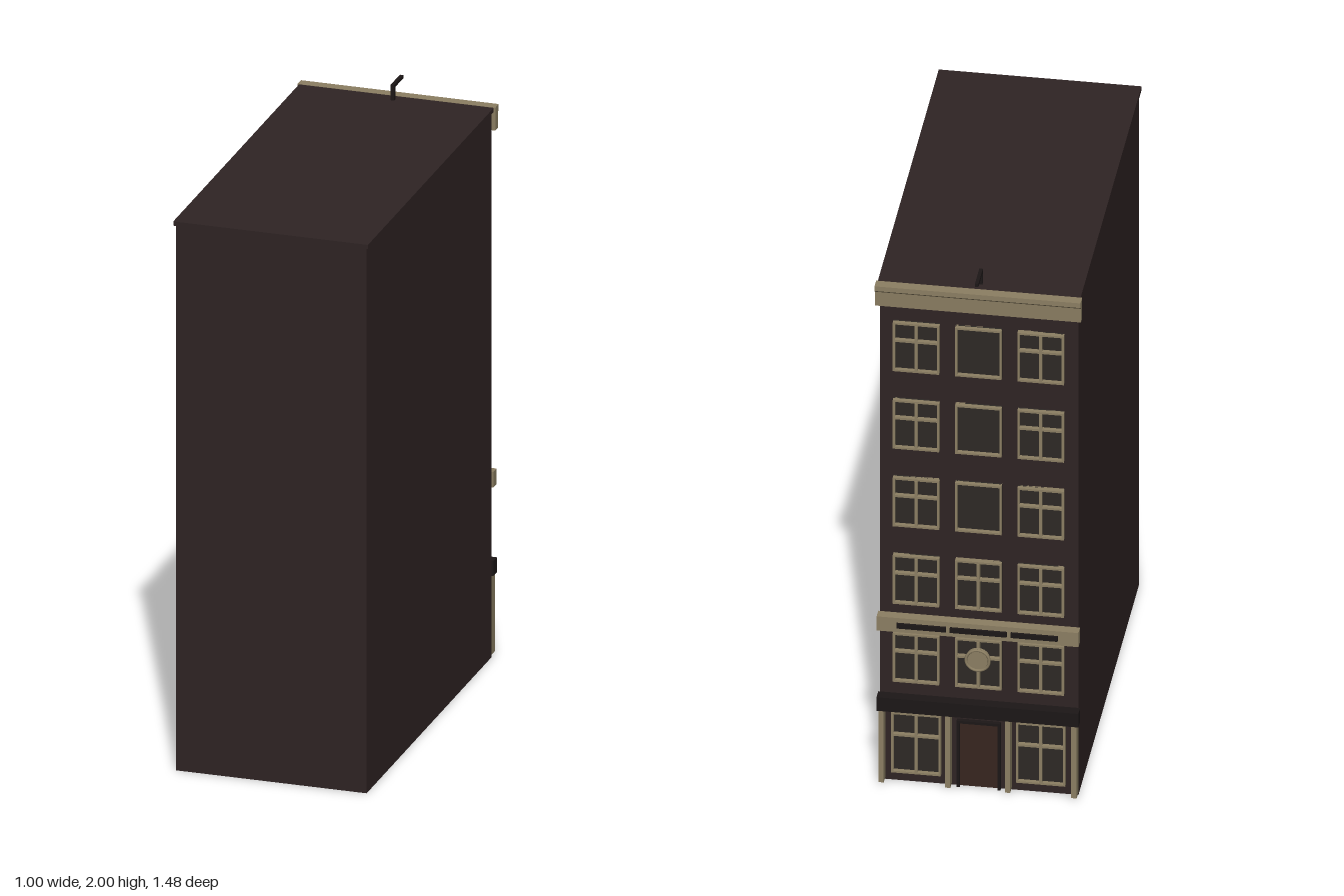
import * as THREE from 'three';

const mat = (name, color) => {
  const m = new THREE.MeshStandardMaterial({ color });
  m.name = name;
  return m;
};

export function createModel() {
  const wall = mat('dark brown wall', 0x2f2424);
  const stone = mat('beige stone', 0x8c7f63);
  const dark = mat('near black', 0x1c1717);
  const glass = mat('dim glass', 0x2d2925);
  const doorPaint = mat('door brown', 0x37251f);

  const W = 0.663, D = 1.307, H = 1.93, F = D / 2; // F: plane of the decorated wall

  const model = new THREE.Group();
  model.name = 'townhouse';
  const building = new THREE.Group();
  building.name = 'building';
  building.position.set(0.003, 0, 0.015);
  building.rotation.y = Math.PI + 0.25;
  model.add(building);

  // Box given by its limits on each axis
  function box(name, m, x0, x1, y0, y1, z0, z1, parent = building) {
    const mesh = new THREE.Mesh(new THREE.BoxGeometry(x1 - x0, y1 - y0, z1 - z0), m);
    mesh.position.set((x0 + x1) / 2, (y0 + y1) / 2, (z0 + z1) / 2);
    mesh.name = name;
    parent.add(mesh);
    return mesh;
  }

  // Main block and roof slab
  box('walls', wall, -W / 2, W / 2, 0, H, -F, F);
  box('roof', wall, -W / 2 - 0.007, W / 2 + 0.007, H, 1.945, -F - 0.007, F + 0.007);

  // Framed window, optionally divided by a cross bar
  function windowUnit(name, cx, y0, y1, w, cross) {
    const g = new THREE.Group();
    g.name = name;
    building.add(g);
    const x0 = cx - w / 2, x1 = cx + w / 2, t = 0.007, z = F + 0.02;
    box('pane', glass, x0, x1, y0, y1, F, F + 0.006, g);
    box('frameLeft', stone, x0, x0 + t, y0, y1, F, z, g);
    box('frameRight', stone, x1 - t, x1, y0, y1, F, z, g);
    box('frameTop', stone, x0 + t, x1 - t, y1 - t, y1, F, z, g);
    box('frameBottom', stone, x0 + t, x1 - t, y0, y0 + t, F, z, g);
    if (cross) {
      const ym = y0 + (y1 - y0) * 0.63;
      box('mullion', stone, cx - 0.005, cx + 0.005, y0 + t, y1 - t, F, z + 0.003, g);
      box('transom', stone, x0 + t, x1 - t, ym - 0.004, ym + 0.004, F, z + 0.001, g);
    }
  }

  // Five upper storeys, three windows each
  [0.395, 0.7, 1.003, 1.307, 1.61].forEach((y, row) => {
    for (const col of [-1, 0, 1]) {
      windowUnit('window', col * 0.208, y, y + 0.19, 0.155, col !== 0 || row < 2);
    }
  });

  // Shop front
  for (const s of [-1, 1]) {
    windowUnit('shopWindow', s * 0.208, 0.04, 0.275, 0.165, true);
    for (const x of [0.1, 0.322]) {
      box('pilaster', stone, s * x - 0.009, s * x + 0.009, 0.008, 0.29, F, F + 0.036);
    }
    box('doorJamb', dark, s * 0.068 - 0.005, s * 0.068 + 0.005, 0, 0.26, F, F + 0.014);
  }
  box('door', doorPaint, -0.063, 0.063, 0.005, 0.25, F, F + 0.008);
  box('doorLintel', dark, -0.073, 0.073, 0.25, 0.26, F, F + 0.015);
  box('shopFascia', dark, -0.337, 0.337, 0.287, 0.34, F, F + 0.037);

  // Sign band with plain dark strips
  box('signBand', stone, -0.337, 0.337, 0.6, 0.655, F, F + 0.035);
  for (const [a, b] of [[-0.27, -0.105], [-0.092, 0.098], [0.111, 0.268]]) {
    box('signStrip', dark, a, b, 0.619, 0.637, F + 0.035, F + 0.043);
  }

  // Round medallion over the middle first floor window
  const disc = new THREE.Mesh(new THREE.CylinderGeometry(0.041, 0.041, 0.014, 24), stone);
  disc.name = 'medallion';
  disc.rotation.x = Math.PI / 2;
  disc.position.set(0, 0.515, F + 0.028);
  building.add(disc);
  const rim = new THREE.Mesh(new THREE.TorusGeometry(0.039, 0.005, 6, 24), stone);
  rim.name = 'medallionRim';
  rim.position.set(0, 0.515, F + 0.035);
  building.add(rim);

  // Cornice: profile extruded along the width
  const profile = new THREE.Shape([
    [0, 1.865], [0.026, 1.865], [0.028, 1.92], [0.036, 1.928], [0.036, 1.946], [0, 1.946],
  ].map(([z, y]) => new THREE.Vector2(-z, y)));
  const cornice = new THREE.Mesh(
    new THREE.ExtrudeGeometry(profile, { depth: 0.688, bevelEnabled: false }), stone);
  cornice.name = 'cornice';
  cornice.rotation.y = Math.PI / 2;
  cornice.position.set(-0.344, 0, F);
  building.add(cornice);

  // Roof hoist: post and arm reaching over the cornice
  box('hoistPost', dark, -0.006, 0.006, 1.945, 2, 0.612, 0.624);
  box('hoistArm', dark, -0.006, 0.006, 1.989, 2, 0.624, 0.708);

  return model;
}
